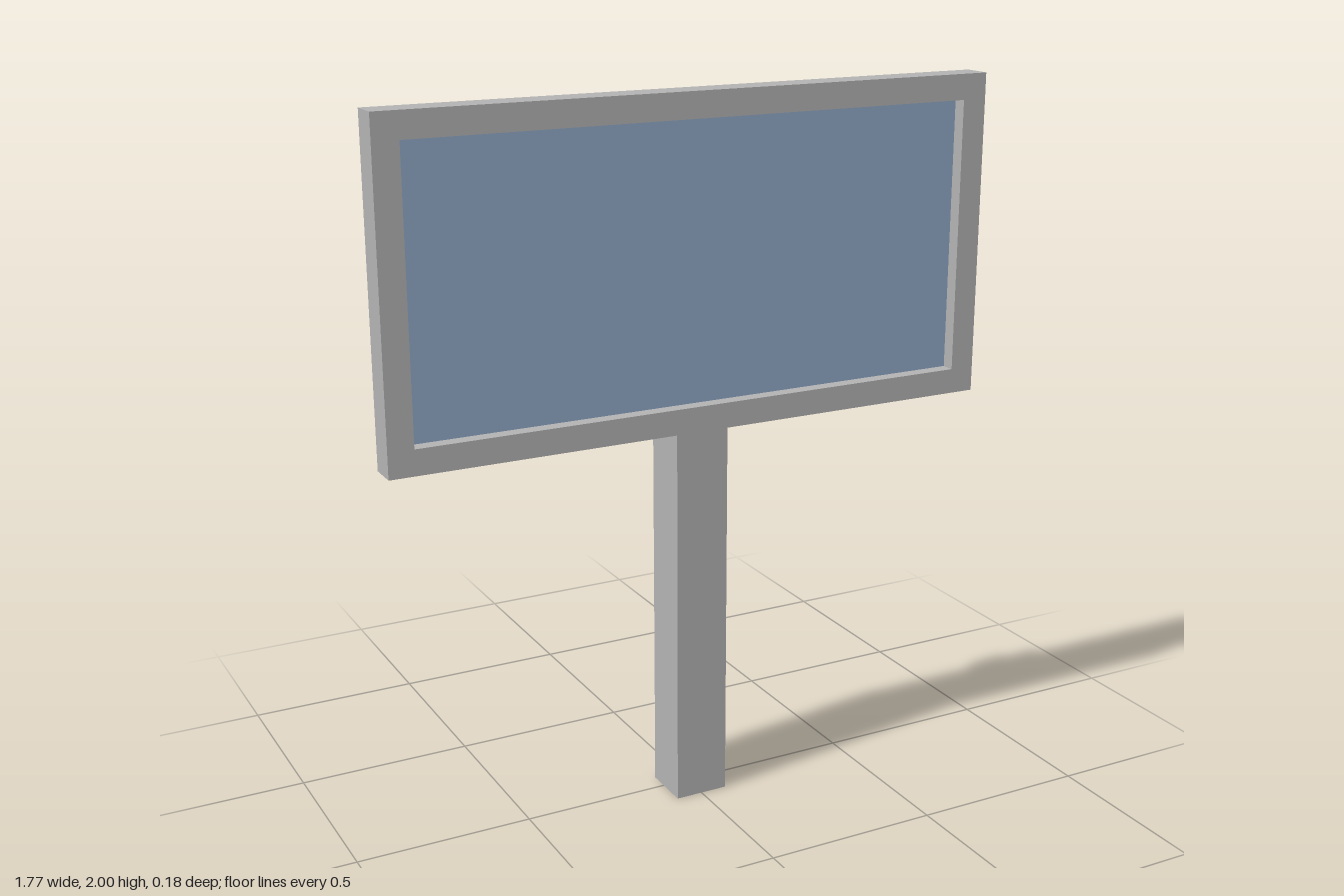
import * as THREE from 'three';

const grey = new THREE.MeshStandardMaterial({ color: 0xb2b2b2 });
grey.name = 'grey';
const blue = new THREE.MeshStandardMaterial({ color: 0x8fa9c8 });
blue.name = 'screenBlue';

const FRONT = 0.089, BACK = 0.005, SCREEN = 0.05; // z of the panel's layers
const BOTTOM = 1.09, TOP = 2, HALF_WIDTH = 0.885, BORDER = 0.071;
const POST_BACK = -0.055, POST_WIDTH = 0.154;

function addMesh(group, name, geometry, material) {
  const mesh = new THREE.Mesh(geometry, material);
  mesh.name = name;
  group.add(mesh);
  return mesh;
}

// Box given by its width and its limits in y and z, centred on x = 0
function slab(width, y0, y1, z0, z1) {
  return new THREE.BoxGeometry(width, y1 - y0, z1 - z0)
    .translate(0, (y0 + y1) / 2, (z0 + z1) / 2);
}

function rectangle(path, inset) {
  const x = HALF_WIDTH - inset, y0 = BOTTOM + inset, y1 = TOP - inset;
  path.moveTo(-x, y0).lineTo(x, y0).lineTo(x, y1).lineTo(-x, y1).closePath();
  return path;
}

export function createModel() {
  const model = new THREE.Group();
  model.name = 'signDisplay';

  // Panel: raised border, solid back and recessed screen
  const border = rectangle(new THREE.Shape(), 0);
  border.holes.push(rectangle(new THREE.Path(), BORDER));
  addMesh(model, 'frame', new THREE.ExtrudeGeometry(border, {
    depth: FRONT - SCREEN, bevelEnabled: false,
  }).translate(0, 0, SCREEN), grey);
  addMesh(model, 'backPanel', slab(HALF_WIDTH * 2, BOTTOM, TOP, BACK, SCREEN - 0.002), grey);
  addMesh(model, 'panelRim', new THREE.ExtrudeGeometry(border, {
    depth: 0.002, bevelEnabled: false,
  }).translate(0, 0, SCREEN - 0.002), grey);
  addMesh(model, 'screen', slab((HALF_WIDTH - BORDER) * 2, BOTTOM + BORDER, TOP - BORDER,
    SCREEN - 0.002, SCREEN), blue);

  // Post, with a thin strip rising behind the panel
  addMesh(model, 'post', slab(POST_WIDTH, 0, BOTTOM, POST_BACK, FRONT), grey);
  addMesh(model, 'mountingStrip', slab(POST_WIDTH, BOTTOM, 1.7, POST_BACK, -0.04), grey);

  // Ball joint: the part of a sphere that stands out behind the panel
  const radius = 0.1275, centreZ = 0.0385;
  const capAngle = Math.acos((centreZ - BACK) / radius);
  const ball = new THREE.SphereGeometry(radius, 48, 20, 0, Math.PI * 2, 0, capAngle)
    .rotateX(-Math.PI / 2);
  addMesh(model, 'ballJoint', ball, grey).position.set(0, 1.545, centreZ);

  return model;
}
